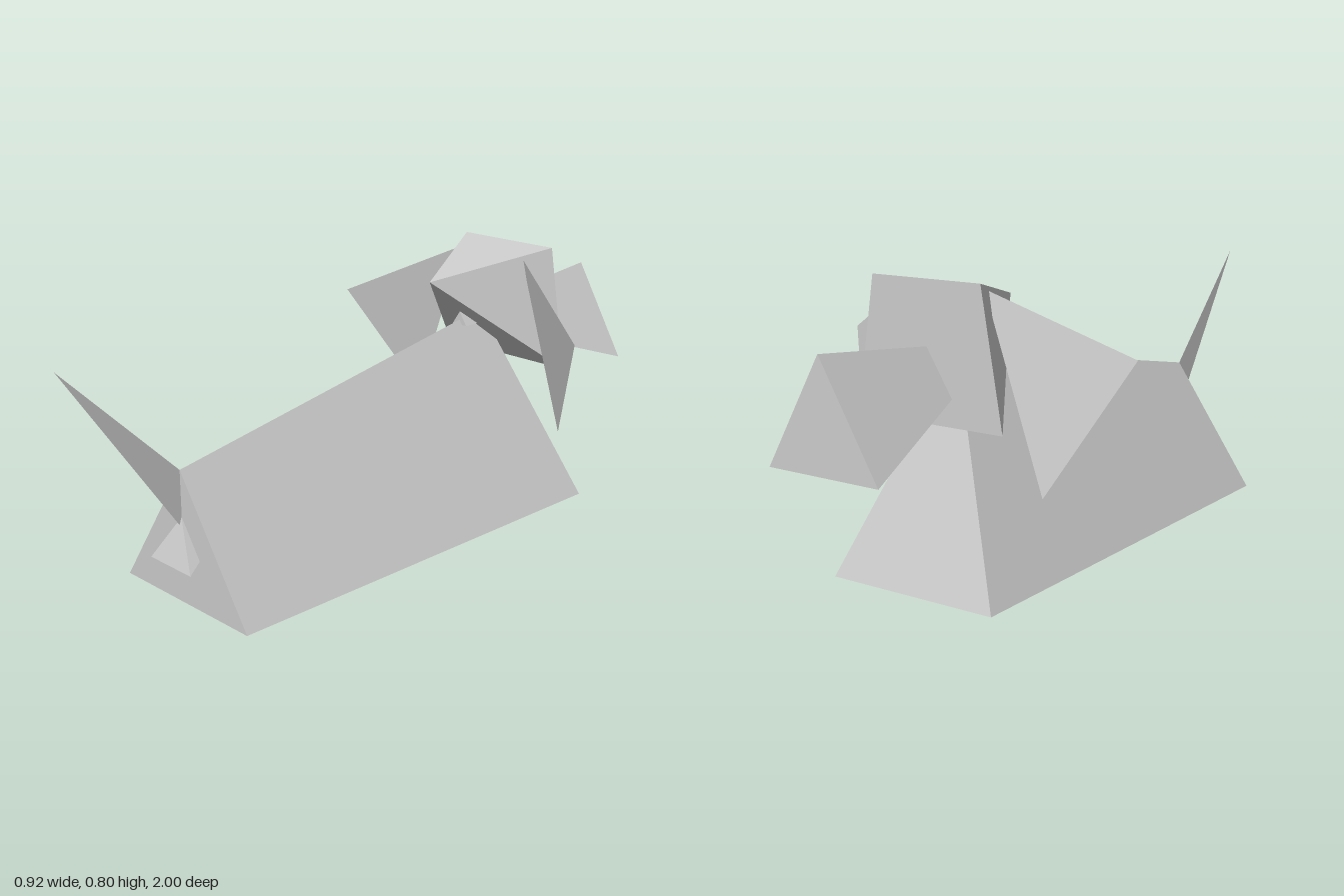
import * as THREE from 'three';

const material = new THREE.MeshStandardMaterial({ color: 0xcccccc, side: THREE.DoubleSide });

// Mesh from loops of corners, each counter-clockwise from outside and shaded as one facet
function facets(name, loops) {
  const positions = [];
  const normals = [];
  const at = (p) => new THREE.Vector3(...p);
  for (const loop of loops) {
    const normal = new THREE.Vector3();
    for (let i = 1; i < loop.length - 1; i++) {
      positions.push(...loop[0], ...loop[i], ...loop[i + 1]);
      normal.add(at(loop[i]).sub(at(loop[0])).cross(at(loop[i + 1]).sub(at(loop[0]))));
    }
    normal.normalize();
    for (let i = 0; i < (loop.length - 2) * 3; i++) normals.push(...normal.toArray());
  }
  const geometry = new THREE.BufferGeometry();
  geometry.setAttribute('position', new THREE.Float32BufferAttribute(positions, 3));
  geometry.setAttribute('normal', new THREE.Float32BufferAttribute(normals, 3));
  const mesh = new THREE.Mesh(geometry, material);
  mesh.name = name;
  return mesh;
}

// Solid between a front and a back section (counter-clockwise seen from +z).
// A section of one point makes a pyramid tip; openSide leaves one side out.
function loft(name, front, back, openSide = -1) {
  const n = Math.max(front.length, back.length);
  const f = (i) => front[i % front.length];
  const b = (i) => back[i % back.length];
  const loops = [];
  for (let i = 0; i < n; i++) {
    if (i === openSide) continue;
    const j = (i + 1) % n;
    if (front.length === 1) loops.push([f(0), b(i), b(j)]);
    else if (back.length === 1) loops.push([f(i), b(0), f(j)]);
    // alternate the diagonal so that left and right sides mirror each other
    else loops.push(i % 2 ? [f(i), b(i), b(j), f(j)] : [b(i), b(j), f(j), f(i)]);
  }
  if (front.length > 2) loops.push(front);
  if (back.length > 2) loops.push([...back].reverse());
  return facets(name, loops);
}

// Upright triangular section: base half-width, base height and z, ridge height and z
const triangle = (w, y, z, ridgeY, ridgeZ = z) => [[-w, y, z], [w, y, z], [0, ridgeY, ridgeZ]];

export function createModel() {
  const model = new THREE.Group();
  model.name = 'facetedDog';

  // Tent-shaped body, open underneath, with a leaning chest
  model.add(loft('body', triangle(0.256, 0, 0.657, 0.378), triangle(0.256, 0, -0.708, 0.598, -0.5), 0));

  // Small neck ridge joining body and head
  model.add(loft('neck', triangle(0.027, 0.565, -0.405, 0.605), triangle(0.027, 0.565, -0.55, 0.605)));

  // Head: pyramid with its tip over the back and a trapezoid face
  model.add(loft('head', [[0, 0.718, -0.27]],
    [[-0.232, 0.429, -0.622], [0.232, 0.429, -0.622], [0.171, 0.795, -0.622], [-0.171, 0.795, -0.622]]));

  // Snout widening towards the nose
  model.add(loft('snout', triangle(0.075, 0.505, -0.61, 0.625), triangle(0.17, 0.378, -1, 0.666)));

  // Thin triangular ears
  for (const s of [1, -1]) {
    const ear = [[s * 0.122, 0.769, -0.542], [s * 0.29, 0.26, -0.538], [s * 0.46, 0.6, -0.372]];
    model.add(facets(s > 0 ? 'leftEar' : 'rightEar', [s > 0 ? ear : ear.reverse()]));
  }

  // Thin raised tail
  model.add(facets('tail', [[[0, 0.378, 0.657], [0, 0.713, 1], [0, 0.215, 0.657]]]));

  // Small wedge below the tail, running into the body
  model.add(loft('rumpWedge', triangle(0.085, 0.12, 0.7, 0.247, 0.658), [[0, 0.25, 0.46]]));

  return model;
}
